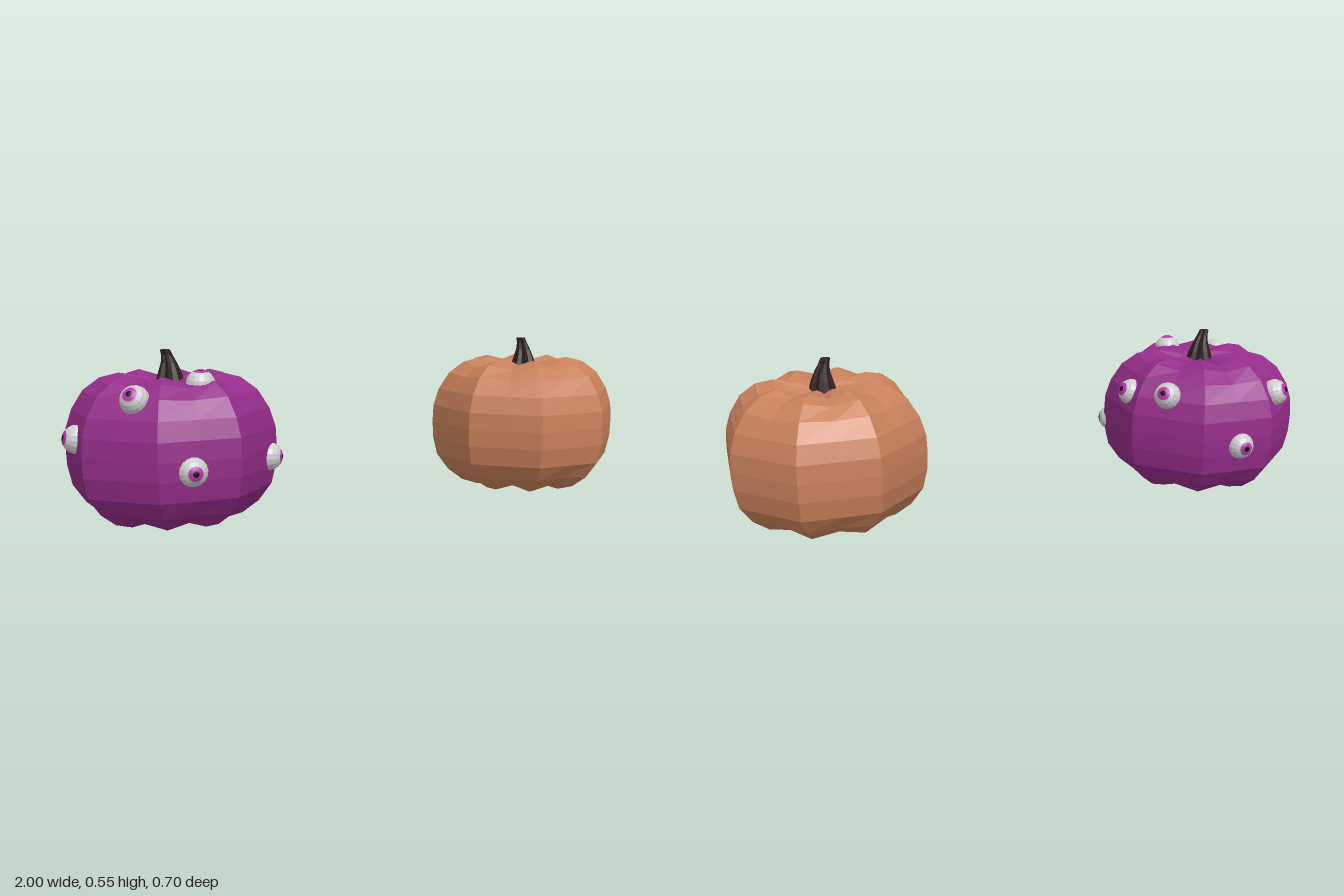
import * as THREE from 'three';

const mat = (color) => new THREE.MeshStandardMaterial({ color, flatShading: true });

// Skin stacked rings (bottom to top) of n points; point(ring, i) returns [x, y, z]
function loft(rings, n, point, material, name) {
  const pos = [], index = [];
  rings.forEach((ring) => {
    for (let i = 0; i < n; i++) pos.push(...point(ring, i));
  });
  for (let j = 0; j < rings.length - 1; j++) {
    for (let i = 0; i < n; i++) {
      const a = j * n + i, b = j * n + (i + 1) % n;
      index.push(a, b, b + n, a, b + n, a + n);
    }
  }
  const geo = new THREE.BufferGeometry();
  geo.setAttribute('position', new THREE.Float32BufferAttribute(pos, 3));
  geo.setIndex(index);
  geo.computeVertexNormals();
  const mesh = new THREE.Mesh(geo, material);
  mesh.name = name;
  return mesh;
}

// Ridge radius, height, and how far the valley between lobes sinks inward vertically
const BODY = [
  [0.001, 0.04, 0], [0.07, 0.013, 0.018], [0.162, 0, 0.02], [0.222, 0.018, 0.015],
  [0.276, 0.058, 0.007], [0.318, 0.115, 0], [0.333, 0.18, 0], [0.336, 0.24, 0],
  [0.333, 0.3, 0], [0.314, 0.36, 0], [0.276, 0.42, -0.007], [0.222, 0.46, -0.015],
  [0.162, 0.475, -0.02], [0.07, 0.462, -0.018], [0.001, 0.435, 0],
];

// Stem rings: radius, height, sideways lean
const STEM = [
  [0.048, 0.44, 0], [0.037, 0.475, 0], [0.026, 0.505, -0.002],
  [0.018, 0.53, -0.008], [0.016, 0.548, -0.014], [0.0005, 0.543, -0.014],
];

function pumpkin(color, name) {
  const group = new THREE.Group();
  group.name = name;
  // Eight lobes: even points are valleys, odd points are ridges
  group.add(loft(BODY, 16, ([r, y, sink], i) => {
    const a = i * Math.PI / 8, ridge = i % 2 === 1;
    const rad = ridge ? r : r * 0.925;
    return [Math.sin(a) * rad, ridge ? y : y + sink, Math.cos(a) * rad];
  }, mat(color), 'pumpkinBody'));
  // Ribbed stem
  group.add(loft(STEM, 16, ([r, y, lean], i) => {
    const a = i * Math.PI / 8, rad = i % 2 ? r : r * 0.8;
    return [Math.sin(a) * rad + lean, y, Math.cos(a) * rad];
  }, mat(0x2e1e1e), 'stem'));
  return group;
}

// Eyeball looking along +y before it is turned: pupil, iris and white are zones of one sphere
const EYE_R = 0.046;
const ZONES = [
  ['pupil', 0, 0.21, 0x1a0c1a, 2],
  ['iris', 0.21, 0.52, 0xb43aa8, 2],
  ['eyeWhite', 0.52, Math.PI, 0xcccccc, 8],
];

function eyeball(position, gaze) {
  const eye = new THREE.Group();
  eye.name = 'eyeball';
  for (const [name, from, to, color, rows] of ZONES) {
    const geo = new THREE.SphereGeometry(EYE_R, 16, rows, 0, Math.PI * 2, from, to - from);
    const mesh = new THREE.Mesh(geo, mat(color));
    mesh.name = name;
    eye.add(mesh);
  }
  eye.position.copy(position);
  eye.quaternion.setFromUnitVectors(new THREE.Vector3(0, 1, 0), gaze.normalize());
  return eye;
}

// Eye centres relative to the pumpkin's axis
const EYES = [
  [-0.022, 0.208, 0.302], [-0.162, 0.415, 0.195], [0.05, 0.45, 0.162],
  [-0.301, 0.283, 0.02], [0.279, 0.355, -0.043], [0.276, 0.207, 0.143],
  [-0.014, 0.211, -0.302], [0.21, 0.375, -0.19], [-0.174, 0.366, -0.235],
];

export function createModel() {
  const model = new THREE.Group();
  model.name = 'pumpkins';

  const orange = pumpkin(0xc8805a, 'orangePumpkin');
  orange.position.x = 0.689;

  const purple = pumpkin(0x952d8a, 'purplePumpkin');
  purple.position.x = -0.653;
  for (const [x, y, z] of EYES) {
    // Look outward, straight up for the one resting on the shoulder
    const gaze = y > 0.44 ? new THREE.Vector3(0, 1, 0.1) : new THREE.Vector3(x, (y - 0.21) * 0.8, z);
    purple.add(eyeball(new THREE.Vector3(x, y, z), gaze));
  }

  model.add(orange, purple);
  return model;
}
